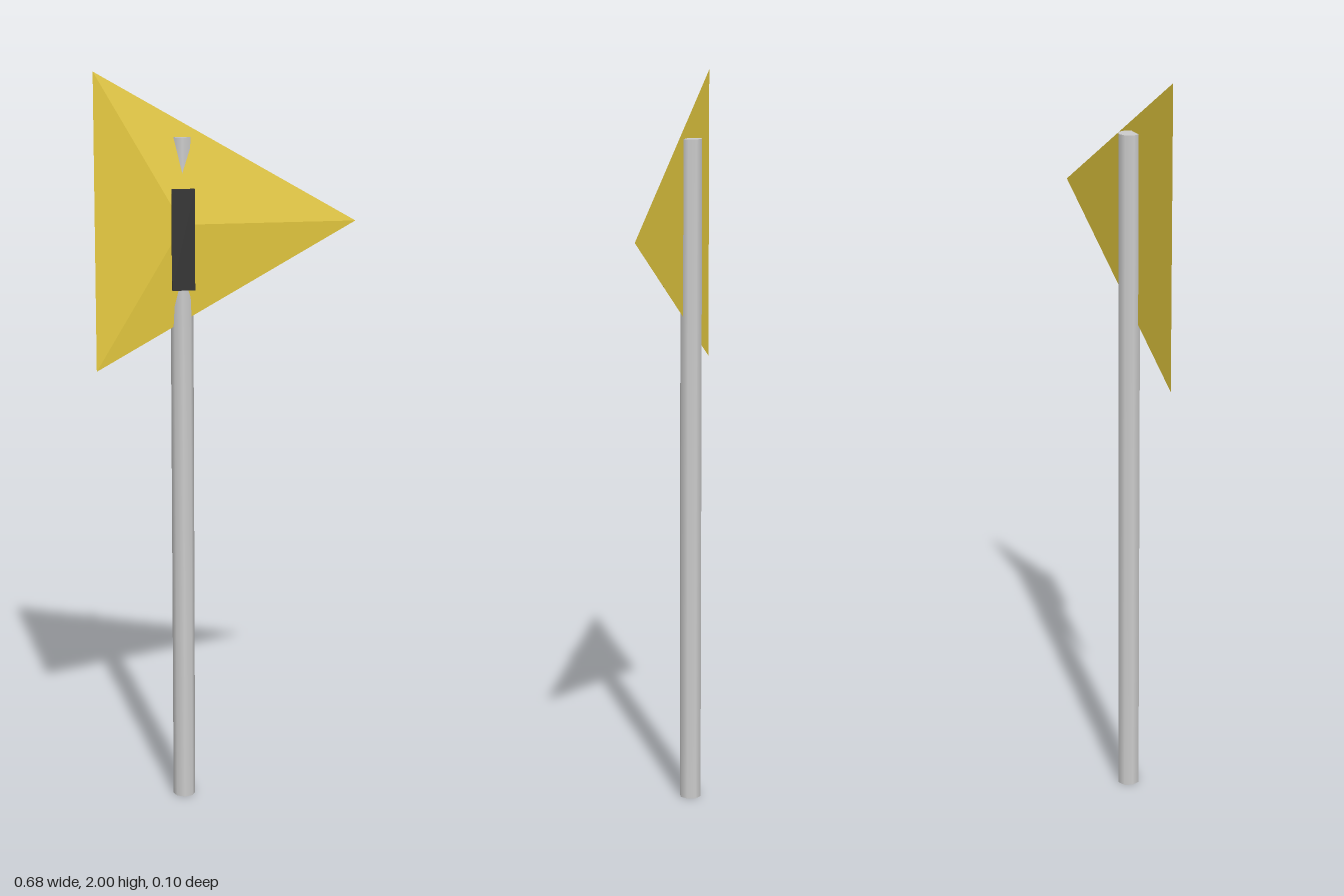
import * as THREE from 'three';

const AXIS_X = -0.114;   // pole axis, shared by every part
const SIGN_Y = 1.605;    // height of the sign's centre

function addPart(group, name, geometry, material, x, y, z) {
  const mesh = new THREE.Mesh(geometry, material);
  mesh.name = name;
  mesh.position.set(x, y, z);
  group.add(mesh);
}

export function createModel() {
  const model = new THREE.Group();
  model.name = 'triangularRoadSign';

  const grey = new THREE.MeshStandardMaterial({ color: 0xcccccc });
  const yellow = new THREE.MeshStandardMaterial({ color: 0xe8cc40, flatShading: true });
  const dark = new THREE.MeshStandardMaterial({ color: 0x333333, flatShading: true });

  // Eight-sided pole, set slightly behind the sign so its front edge pokes through
  addPart(model, 'pole', new THREE.CylinderGeometry(0.03, 0.03, 1.83, 8), grey, AXIS_X, 0.915, -0.02);

  // Shallow three-sided pyramid facing forward, one corner pointing to +x
  const panel = new THREE.ConeGeometry(0.456, 0.03, 3, 1, false, Math.PI / 2);
  panel.rotateX(Math.PI / 2);
  addPart(model, 'signPanel', panel, yellow, AXIS_X, SIGN_Y, 0.01);

  // Dark upright bar floating in front of the panel
  addPart(model, 'signBar', new THREE.BoxGeometry(0.06, 0.265, 0.015), dark, AXIS_X, 1.568, 0.0415);

  return model;
}
